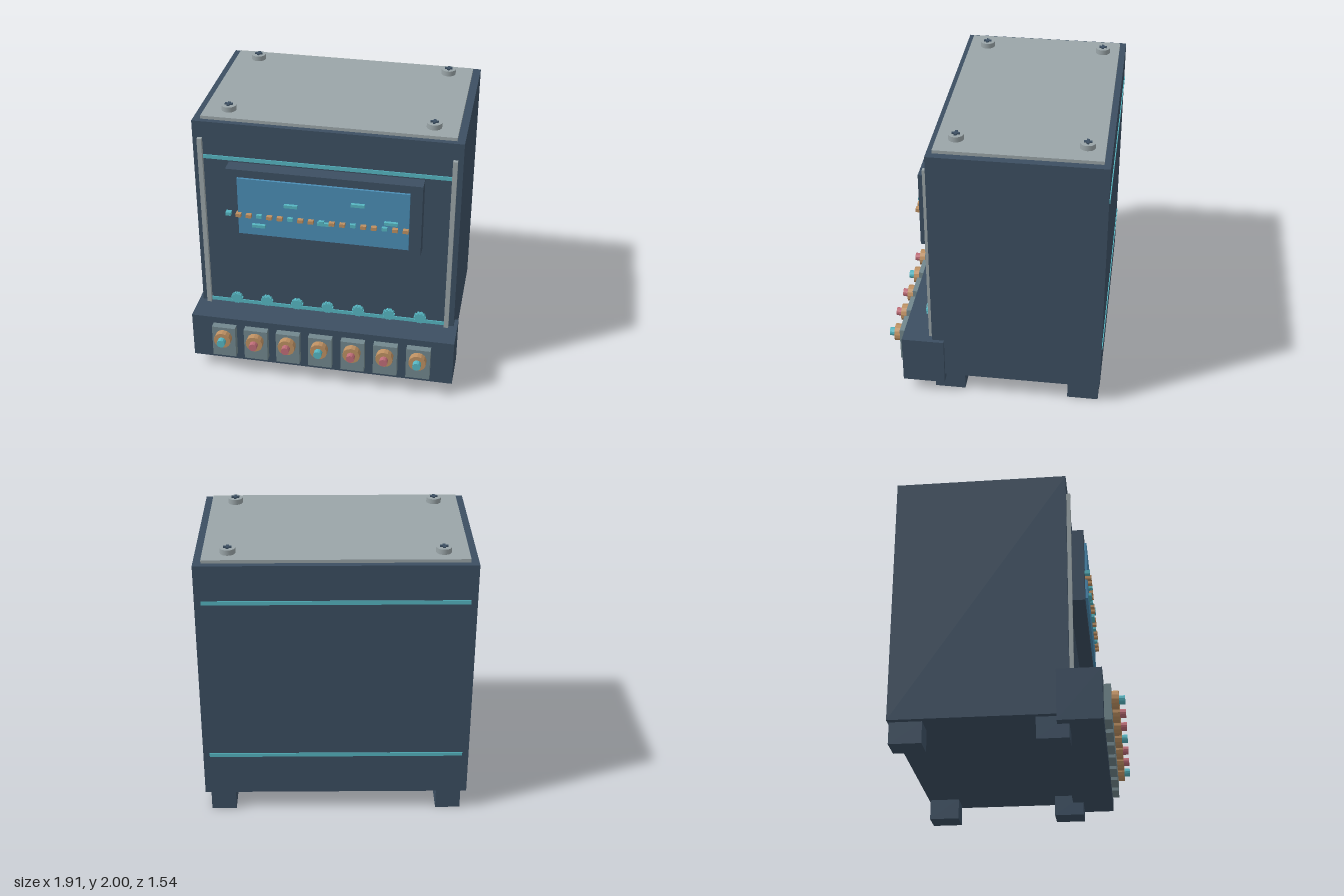
import * as THREE from 'three';

const mat = (name, color) => {
  const m = new THREE.MeshStandardMaterial({ color });
  m.name = name;
  return m;
};

export function createModel() {
  const slate = mat('slate blue', 0x3c4f62);
  const steel = mat('light steel', 0x9aa5a8);
  const plate = mat('plate grey', 0x72878d);
  const teal = mat('teal', 0x56b6c2);
  const glass = mat('screen blue', 0x4a8db5);
  const copper = mat('copper', 0xbd9062);
  const rose = mat('rose', 0xbf6d78);

  const model = new THREE.Group();
  model.name = 'controlCabinet';

  // Box given by its limits on each axis
  const box = (name, m, [x0, x1], [y0, y1], [z0, z1], parent = model) => {
    const mesh = new THREE.Mesh(new THREE.BoxGeometry(x1 - x0, y1 - y0, z1 - z0), m);
    mesh.position.set((x0 + x1) / 2, (y0 + y1) / 2, (z0 + z1) / 2);
    mesh.name = name;
    parent.add(mesh);
    return mesh;
  };
  // Cylinder pointing along z, between z0 and z1
  const disc = (name, m, r, sides, x, y, z0, z1, parent = model) => {
    const geo = new THREE.CylinderGeometry(r, r, z1 - z0, sides).toNonIndexed();
    geo.rotateX(Math.PI / 2);
    geo.computeVertexNormals();
    const mesh = new THREE.Mesh(geo, m);
    mesh.position.set(x, y, (z0 + z1) / 2);
    mesh.name = name;
    parent.add(mesh);
    return mesh;
  };

  // Cabinet, front ledge and lid
  box('body', slate, [-0.93, 0.93], [0.15, 1.93], [-0.765, 0.42]);
  box('frontLedge', slate, [-0.957, 0.957], [0.095, 0.45], [0.335, 0.632]);
  box('lid', steel, [-0.877, 0.877], [1.93, 1.953], [-0.722, 0.382]);

  // Feet, rails and lid screws, mirrored left and right
  for (const s of [-1, 1]) {
    const side = (c, w) => [s * c - w / 2, s * c + w / 2];
    box('frontFoot', slate, side(0.802, 0.175), [0, 0.15], [0.198, 0.413]);
    box('rearFoot', slate, side(0.802, 0.175), [0, 0.15], [-0.755, -0.537]);
    box('rail', steel, side(0.877, 0.032), [0.45, 1.808], [0.42, 0.448]);
    for (const z of [-0.603, 0.252]) {
      const screw = new THREE.Group();
      screw.name = 'lidScrew';
      screw.position.set(s * 0.708, 0, z);
      const head = new THREE.Mesh(new THREE.CylinderGeometry(0.052, 0.052, 0.037, 20), steel);
      head.position.y = 1.9715;
      head.name = 'screwHead';
      screw.add(head);
      box('screwSlot', slate, [-0.027, 0.027], [1.99, 2], [-0.009, 0.009], screw);
      box('screwSlot', slate, [-0.009, 0.009], [1.99, 1.9995], [-0.027, 0.027], screw);
      model.add(screw);
    }
  }

  // Trim stripes on front and back
  for (const y of [0.469, 1.664]) {
    box('frontStripe', teal, [-0.885, 0.885], [y - 0.014, y + 0.014], [0.42, 0.427]);
    box('backStripe', teal, [-0.885, 0.885], [y - 0.014, y + 0.014], [-0.771, -0.765]);
  }

  // Display
  box('bezel', slate, [-0.68, 0.68], [1.085, 1.638], [0.42, 0.523]);
  box('screen', glass, [-0.597, 0.597], [1.14, 1.58], [0.523, 0.54]);
  const dashes = [[-0.45, 1.222], [-0.22, 1.404], [0.012, 1.288], [0.245, 1.463], [0.475, 1.345]];
  for (const [x, y] of dashes) {
    box('screenDash', teal, [x - 0.047, x + 0.047], [y - 0.011, y + 0.011], [0.54, 0.562]);
  }
  for (let i = 0; i < 18; i++) {
    const x = -0.664 + i * 0.073, lit = i % 3 === 0;
    box('screenDot', lit ? teal : copper, [x - 0.019, x + 0.019], [1.287, 1.312],
      [0.525, lit ? 0.562 : 0.569]);
  }

  for (let i = 0; i < 7; i++) {
    // Toothed wheels above the ledge
    const wheel = new THREE.Group();
    wheel.name = 'toothedWheel';
    wheel.position.set(-0.652 + i * 0.2237, 0.541, 0);
    disc('wheelHub', teal, 0.037, 20, 0, 0, 0.467, 0.497, wheel);
    for (let k = 0; k < 10; k++) {
      const a = k * Math.PI / 5;
      const tooth = box('wheelTooth', teal, [0.03, 0.043], [-0.007, 0.007], [0.47, 0.494], wheel);
      tooth.position.set(0.0365 * Math.cos(a), 0.0365 * Math.sin(a), 0.482);
      tooth.rotation.z = a;
    }
    model.add(wheel);

    // Terminals on the ledge
    const x = (i - 3) * 0.237;
    box('terminalPlate', plate, [x - 0.086, x + 0.086], [0.15, 0.4], [0.632, 0.682]);
    disc('terminalNut', copper, 0.062, 14, x, 0.318, 0.682, 0.73);
    disc('terminalTip', i % 3 === 0 ? teal : rose, 0.03, 12, x, 0.318, 0.73, 0.77);
  }
  return model;
}
